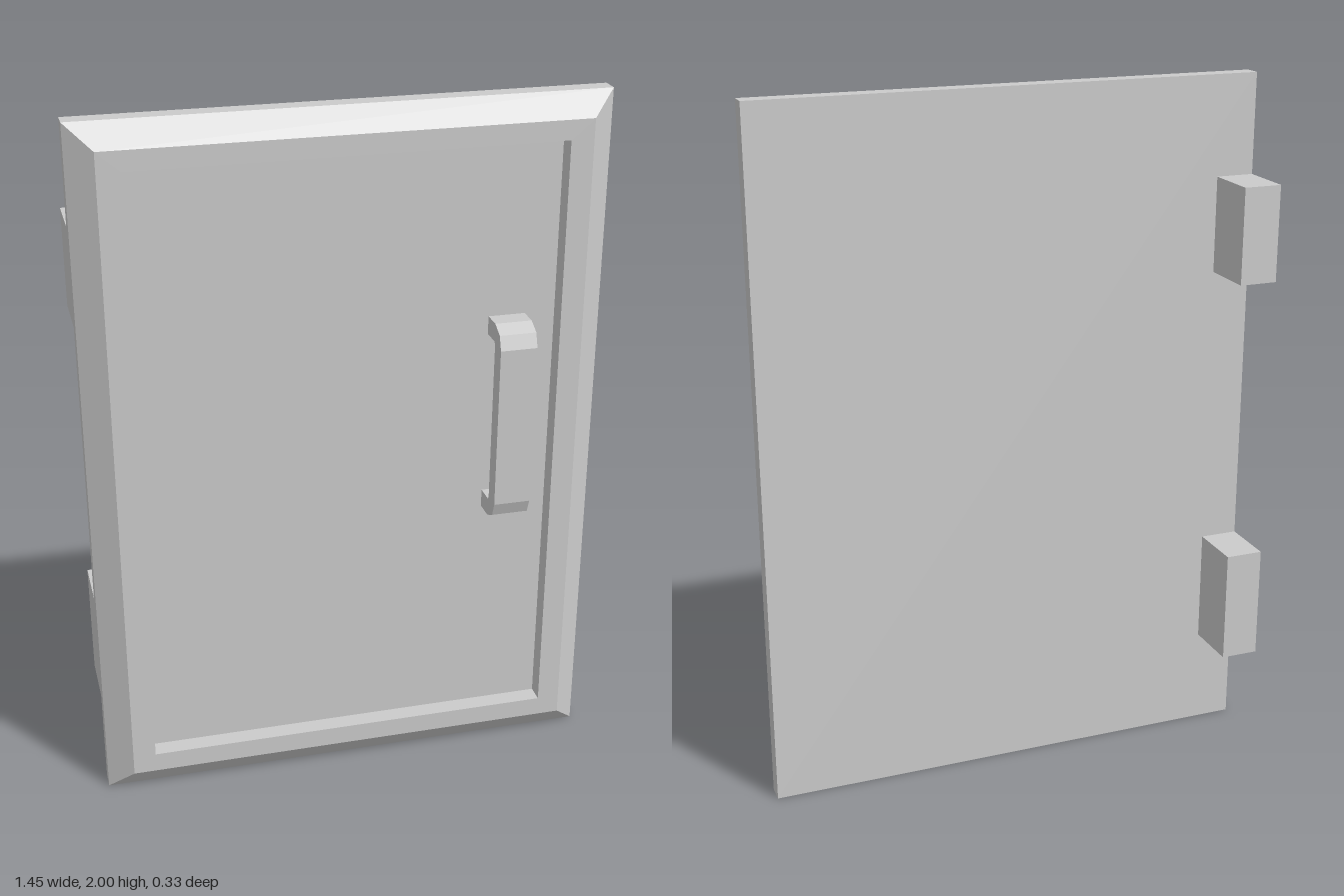
import * as THREE from 'three';

const material = new THREE.MeshStandardMaterial({ color: 0xcccccc, flatShading: true });

function addMesh(parent, name, geometry) {
  const mesh = new THREE.Mesh(geometry, material);
  mesh.name = name;
  parent.add(mesh);
  return mesh;
}

// Box given by its two opposite corners
function addBox(parent, name, [x0, y0, z0], [x1, y1, z1]) {
  const mesh = addMesh(parent, name, new THREE.BoxGeometry(x1 - x0, y1 - y0, z1 - z0));
  mesh.position.set((x0 + x1) / 2, (y0 + y1) / 2, (z0 + z1) / 2);
}

// Rectangular frame skinned through successive loops [x0, x1, y0, y1, z]
function frameGeometry(loops) {
  const points = [];
  const index = [];
  for (const [x0, x1, y0, y1, z] of loops) {
    points.push(x0, y0, z, x1, y0, z, x1, y1, z, x0, y1, z);
  }
  for (let i = 0; i < loops.length - 1; i++) {
    for (let j = 0; j < 4; j++) {
      const a = i * 4 + j;
      const b = i * 4 + (j + 1) % 4;
      index.push(a, b, b + 4, a, b + 4, a + 4);
    }
  }
  const indexed = new THREE.BufferGeometry();
  indexed.setAttribute('position', new THREE.Float32BufferAttribute(points, 3));
  indexed.setIndex(index);
  const geometry = indexed.toNonIndexed();
  geometry.computeVertexNormals();
  return geometry;
}

export function createModel() {
  const door = new THREE.Group();
  door.name = 'cabinetDoor';
  const half = 0.727;
  const panelZ = 0.052;
  const frontZ = 0.105;

  // Flat door slab, whose front is the recessed panel
  addBox(door, 'doorPanel', [-half, 0, 0], [half, 2, panelZ]);

  // Raised frame: sloped outer edge, flat face, straight inner wall
  addMesh(door, 'bevelledFrame', frameGeometry([
    [-half, half, 0, 2, panelZ],
    [-0.655, 0.66, 0.068, 1.935, frontZ],
    [-0.59, 0.595, 0.125, 1.88, frontZ],
    [-0.59, 0.595, 0.125, 1.88, panelZ],
  ]));

  // Pull handle: half profiles as [z, distance from middle], mirrored in y
  const handleY = 1.088;
  const outer = [[panelZ, 0.295], [0.11, 0.295], [0.15, 0.275], [0.165, 0.235]];
  const inner = [[0.115, 0.235], [0.108, 0.243], [panelZ, 0.243]];
  const upper = (p) => new THREE.Vector2(p[0], p[1]);
  const lower = (p) => new THREE.Vector2(p[0], -p[1]);
  const profile = new THREE.Shape([
    ...outer.map(upper), ...[...outer].reverse().map(lower),
    ...[...inner].reverse().map(lower), ...inner.map(upper),
  ]);
  const handle = addMesh(door, 'pullHandle',
    new THREE.ExtrudeGeometry(profile, { depth: 0.105, bevelEnabled: false }));
  handle.rotation.y = -Math.PI / 2; // profile x becomes z, extrusion runs to -x
  handle.position.set(0.508, handleY, 0);

  // Hinge blocks on the back
  for (const [name, y0, y1] of [['lowerHinge', 0.285, 0.615], ['upperHinge', 1.44, 1.715]]) {
    addBox(door, name, [-half, y0, -0.165], [-0.617, y1, 0]);
  }
  return door;
}
